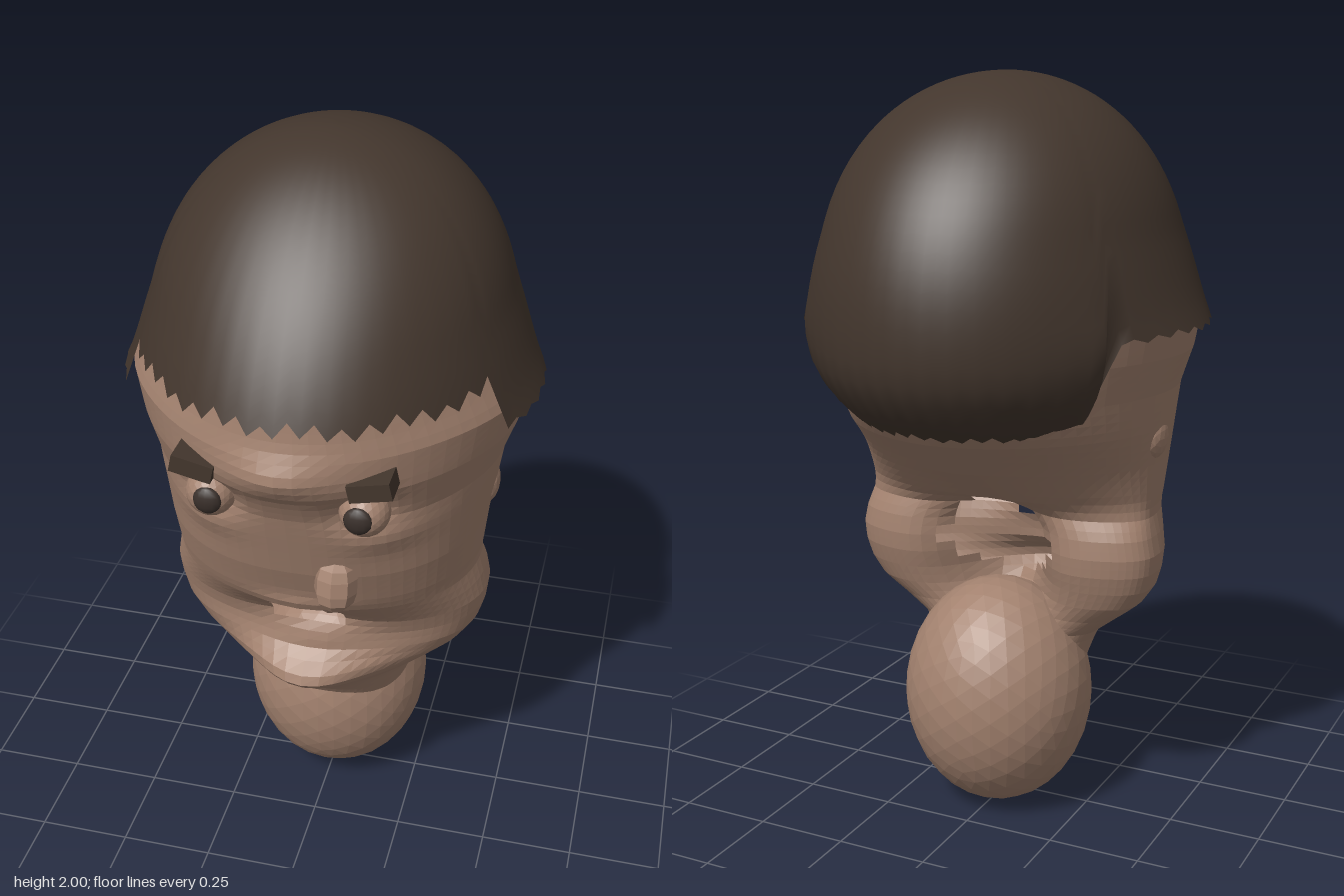
import * as THREE from 'three';

const skin = new THREE.MeshStandardMaterial({ color: 0xa3826f, flatShading: true, side: THREE.DoubleSide });
skin.name = 'skin';
const hairMat = new THREE.MeshStandardMaterial({ color: 0x43362d, side: THREE.DoubleSide });
hairMat.name = 'dark brown hair';
const irisMat = new THREE.MeshStandardMaterial({ color: 0x3a302b });
irisMat.name = 'dark iris';

// Head slices: y, half width, front z, back z, depth of the hollow between the jaw lobes
const SLICES = [
  [0.38, 0.21, 0.18, -0.12, 0.00],
  [0.45, 0.235, 0.22, -0.11, 0.00],
  [0.50, 0.255, 0.24, -0.10, 0.05],
  [0.55, 0.32, 0.26, -0.10, 0.12],
  [0.60, 0.385, 0.27, -0.11, 0.20],
  [0.65, 0.42, 0.28, -0.125, 0.25],
  [0.70, 0.435, 0.28, -0.14, 0.26],
  [0.75, 0.44, 0.30, -0.145, 0.26],
  [0.80, 0.43, 0.34, -0.14, 0.22],
  [0.86, 0.415, 0.39, -0.13, 0.10],
  [0.90, 0.42, 0.41, -0.18, 0.02],
  [1.00, 0.43, 0.45, -0.31, 0],
  [1.10, 0.445, 0.48, -0.43, 0],
  [1.20, 0.46, 0.51, -0.51, 0],
  [1.30, 0.495, 0.56, -0.55, 0],
  [1.40, 0.515, 0.565, -0.57, 0],
  [1.50, 0.465, 0.555, -0.56, 0],
  [1.62, 0.42, 0.49, -0.52, 0],
];

// Soft face bumps: x, y, x spread, y spread, z offset
const BUMPS = [
  [0, 1.35, 0.13, 0.05, 0.035],                                          // brow ridge
  [0.185, 1.235, 0.07, 0.05, -0.04], [-0.185, 1.235, 0.07, 0.05, -0.04], // eye sockets
  [0, 0.585, 0.18, 0.055, 0.115], [0, 0.51, 0.15, 0.05, 0.04],           // chin
  [0, 0.86, 0.11, 0.03, 0.02],                                           // upper lip
  [0, 0.765, 0.13, 0.04, -0.025],                                        // mouth
  [0.02, 0.69, 0.13, 0.03, 0.025],                                       // lower lip
  [0.24, 1.13, 0.09, 0.04, 0.015], [-0.24, 1.13, 0.09, 0.04, 0.015],     // cheekbones
];

const clamp01 = v => Math.min(1, Math.max(0, v));

function sliceAt(y) {
  let i = 0;
  while (i < SLICES.length - 2 && y > SLICES[i + 1][0]) i++;
  const a = SLICES[i], b = SLICES[i + 1], f = (y - a[0]) / (b[0] - a[0]);
  return a.map((v, k) => v + (b[k] - v) * f);
}

function headPoint(t, y) {
  const [, w, zf, zb, hollow] = sliceAt(y);
  const s = Math.sin(t), c = Math.cos(t), front = c > 0;
  const lobe = Math.min(1, hollow / 0.2);
  const nape = Math.exp(-(((y - 0.98) / 0.1) ** 2));
  const q = front ? 0.85 + 0.15 * clamp01((y - 1.15) / 0.3) : 1 - 0.15 * lobe + 0.4 * nape;
  const flare = 1 - 0.13 * clamp01((y - 1) / 0.3) * (1 - s ** 4);
  const x = w * flare * Math.sign(s) * Math.abs(s) ** q;
  let z;
  if (front) {
    z = 0.03 + (zf - 0.03) * c;
    for (const [bx, by, sx, sy, d] of BUMPS)
      z += d * c * Math.exp(-(((x - bx) / sx) ** 2) - ((y - by) / sy) ** 2);
  } else {
    z = 0.03 + (zb - 0.03) * Math.abs(c) ** (1 - 0.4 * lobe);
    z += hollow * Math.abs(c) * Math.exp(-((x / 0.14) ** 2));
  }
  return [x, y, z];
}

// Closed ring grid; skip() leaves holes
function grid(cols, rows, point, skip = () => false) {
  const pos = [], index = [];
  for (let r = 0; r <= rows; r++)
    for (let c = 0; c < cols; c++) pos.push(...point(c, r));
  for (let r = 0; r < rows; r++)
    for (let c = 0; c < cols; c++) {
      const n = (c + 1) % cols;
      const q = [r * cols + c, r * cols + n, (r + 1) * cols + n, (r + 1) * cols + c];
      const centre = [0, 1, 2].map(k => q.reduce((sum, i) => sum + pos[i * 3 + k] / 4, 0));
      if (skip(...centre)) continue;
      index.push(q[0], q[1], q[2], q[0], q[2], q[3]);
    }
  const g = new THREE.BufferGeometry();
  g.setAttribute('position', new THREE.Float32BufferAttribute(pos, 3));
  g.setIndex(index);
  g.computeVertexNormals();
  return g;
}

// Hair surface: a dome that flares over the temples
function hairPoint(t, y) {
  const s = Math.sqrt(Math.max(0, 1 - ((y - 1.38) / 0.62) ** 2));
  const tuck = y < 1.3 ? 1 - 4.6 * (1.3 - y) ** 2 : 1;
  const sin = Math.sin(t), c = Math.cos(t);
  const flare = y > 1.36 ? 0.13 * Math.exp(-(y - 1.36) * 8) : 0.13 - (1.36 - y) * 0.45;
  const side = 0.87 + flare * sin ** 4 + 0.25 * Math.max(0, y - 1.6);
  const depth = c > 0 ? 0.6 - 0.25 * (y - 1.46) : 0.595;
  return [0.55 * side * s * tuck * sin, y, depth * s * tuck * c];
}
// Stepped and toothed lower edge of the hair
function hairline(t, col) {
  const a = Math.abs(t > Math.PI ? t - 2 * Math.PI : t) * 180 / Math.PI;
  const tooth = (col % 2 ? 0.022 : -0.015) * (0.7 + 0.3 * Math.sin(col * 2.3));
  if (a < 66) return 1.485 + tooth * 1.2;
  if (a < 122) return 1.37 + tooth * 0.5;
  return 1.125 + tooth * 0.6;
}

export function createModel() {
  const model = new THREE.Group();
  const add = (name, geo, mat, p = [0, 0, 0], scale = [1, 1, 1]) => {
    const m = new THREE.Mesh(geo, mat);
    m.name = name;
    m.position.set(...p);
    m.scale.set(...scale);
    model.add(m);
    return m;
  };

  // Head shell, open at the mouth and between the jaw lobes
  const cols = 72, rows = 50;
  const isHole = (x, y, z) => z > 0.2
    ? (x / 0.095) ** 2 + ((y - 0.765) / 0.045) ** 2 < 1
    : (x / 0.16) ** 2 + ((y - 0.75) / 0.12) ** 2 < 1;
  add('head', grid(cols, rows,
    (c, r) => headPoint(c / cols * Math.PI * 2, 0.38 + r * 0.0248), isHole), skin);

  // Rounded neck
  add('neck', new THREE.IcosahedronGeometry(1, 5), skin, [0, 0.32, -0.05], [0.26, 0.32, 0.26]);

  // Hair cap
  const hc = 96, hr = 28;
  add('hair', grid(hc, hr, (c, r) => {
    const t = c / hc * Math.PI * 2, y0 = hairline(t, c);
    return hairPoint(t, y0 + (2 - y0) * Math.sin(r / hr * Math.PI / 2));
  }), hairMat);

  // Eyes, brows and ears, mirrored
  for (const s of [1, -1]) {
    add('eyeball', new THREE.IcosahedronGeometry(0.063, 3), skin, [s * 0.19, 1.235, 0.475]);
    add('iris', new THREE.SphereGeometry(0.036, 12, 8), irisMat, [s * 0.185, 1.238, 0.527], [1, 1, 0.5]);
    const brow = add('eyebrow', new THREE.BoxGeometry(0.105, 0.045, 0.08), hairMat, [s * 0.215, 1.332, 0.508]);
    brow.rotation.z = s * 0.22;
    add('ear', new THREE.IcosahedronGeometry(1, 2), skin, [s * 0.417, 1.07, 0.02], [0.035, 0.06, 0.065]);
  }

  // Off-centre nose stub with a rounded top
  const nose = add('nose', new THREE.CapsuleGeometry(0.055, 0.04, 3, 8), skin, [0.11, 0.98, 0.438]);
  nose.rotation.x = -0.2;

  return model;
}
